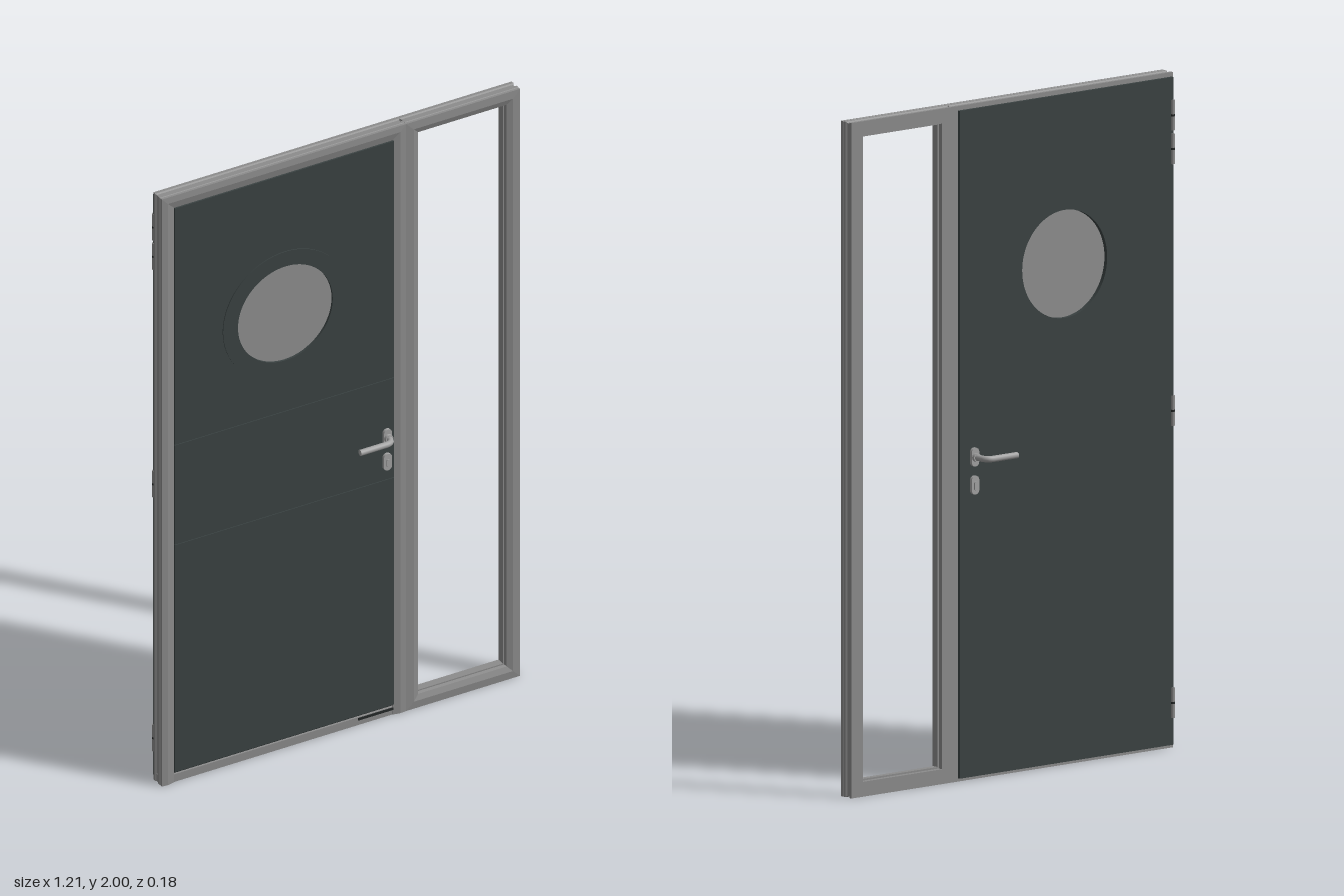
import * as THREE from 'three';

const mat = (name, color) => Object.assign(new THREE.MeshStandardMaterial({ color }), { name });

export function createModel() {
  const root = new THREE.Group();
  const frameGrey = mat('frame grey', 0x8c8c8c);
  const doorGrey = mat('door anthracite', 0x3b4343);
  const glassGrey = mat('glass grey', 0x8f8f8f);
  const steel = mat('handle steel', 0xa2a2a2);
  const dark = mat('dark seal', 0x242828);

  const add = (name, geo, material, x = 0, y = 0, z = 0, parent = root) => {
    const m = new THREE.Mesh(geo, material);
    m.name = name;
    m.position.set(x, y, z);
    parent.add(m);
    return m;
  };
  const box = (name, x0, x1, y0, y1, z0, z1, material) =>
    add(name, new THREE.BoxGeometry(x1 - x0, y1 - y0, z1 - z0), material,
      (x0 + x1) / 2, (y0 + y1) / 2, (z0 + z1) / 2);

  // Mitred frame: a closed profile of [inset, z] points swept around a rectangle
  function mitredFrame(x0, x1, y0, y1, profile, closed) {
    const corners = ([d, z]) => {
      const b = closed ? y0 + d : y0;
      return [[x0 + d, b, z], [x0 + d, y1 - d, z], [x1 - d, y1 - d, z], [x1 - d, b, z]];
    };
    const pos = [];
    profile.forEach((p, i) => {
      const a = corners(p), b = corners(profile[(i + 1) % profile.length]);
      for (let k = 0; k < (closed ? 4 : 3); k++) {
        const n = (k + 1) % 4;
        pos.push(...a[k], ...b[k], ...b[n], ...a[k], ...b[n], ...a[n]);
      }
    });
    const g = new THREE.BufferGeometry();
    g.setAttribute('position', new THREE.Float32BufferAttribute(pos, 3));
    g.computeVertexNormals();
    return g;
  }
  const outerEdge = [[0, -0.013], [0, -0.003], [0.004, 0], [0.004, 0.011], [0, 0.014],
    [0, 0.023], [0.003, 0.025], [0, 0.027], [0, 0.035]];
  add('doorFrame', mitredFrame(-0.605, 0.22, 0, 2,
    [...outerEdge, [0.02, 0.037], [0.043, 0.032], [0.043, -0.013]], false), frameGrey);
  add('sidelightFrame', mitredFrame(0.22, 0.605, 0, 2,
    [...outerEdge, [0.025, 0.037], [0.043, 0.031], [0.045, 0.02], [0.049, 0.02],
      [0.049, 0.002], [0.044, 0.002], [0.044, -0.013]], true), frameGrey);
  box('threshold', -0.602, 0.218, 0, 0.026, -0.0125, 0.031, frameGrey);
  box('thresholdSeal', -0.56, 0.178, 0.026, 0.036, -0.012, 0.024, dark);
  box('sealEnd', 0.06, 0.178, 0.016, 0.024, 0.03, 0.033, dark);

  // Door leaf: panels with a round window opening
  const cx = -0.19, cy = 1.485, r = 0.16;
  function panel(name, x0, x1, y0, y1, z0, z1, hole) {
    const s = new THREE.Shape([[x0, y0], [x1, y0], [x1, y1], [x0, y1]]
      .map(([x, y]) => new THREE.Vector2(x, y)));
    if (hole) s.holes.push(new THREE.Path().absarc(cx, cy, hole, 0, Math.PI * 2, true));
    add(name, new THREE.ExtrudeGeometry(s, { depth: z1 - z0, bevelEnabled: false, curveSegments: 64 }),
      doorGrey, 0, 0, z0);
  }
  panel('doorBackLeaf', -0.6, 0.205, 0.01, 1.987, -0.0225, -0.0135, r);
  panel('doorCore', -0.561, 0.179, 0.036, 1.956, -0.0135, 0.032, r);
  panel('lowerFrontPanel', -0.561, 0.179, 0.036, 0.809, 0.032, 0.036);
  panel('middleFrontPanel', -0.561, 0.179, 0.811, 1.149, 0.032, 0.036);
  panel('upperFrontPanel', -0.561, 0.179, 1.151, 1.956, 0.032, 0.036, r);

  // Round window with a flat bezel on the front
  const bezel = new THREE.Shape().absarc(cx, cy, 0.21, 0, Math.PI * 2, false);
  bezel.holes.push(new THREE.Path().absarc(cx, cy, r, 0, Math.PI * 2, true));
  add('windowBezel', new THREE.ExtrudeGeometry(bezel,
    { depth: 0.003, bevelEnabled: false, curveSegments: 64 }), doorGrey, 0, 0, 0.036);
  add('windowGlass', new THREE.CylinderGeometry(r, r, 0.042, 64).rotateX(Math.PI / 2),
    glassGrey, cx, cy, 0.011);

  // Lever handle, rose and lock plate on each side
  const hx = 0.153, hy = 0.957, tube = 0.0095;
  function ovalPlate(w, h, depth) {
    const k = h / 2 - w / 2;
    const s = new THREE.Shape();
    s.absarc(0, k, w / 2, 0, Math.PI, false);
    s.absarc(0, -k, w / 2, Math.PI, Math.PI * 2, false);
    return new THREE.ExtrudeGeometry(s, { depth, bevelEnabled: false, curveSegments: 12 })
      .translate(0, 0, -depth / 2);
  }
  for (const [side, s, face, reach] of [['front', 1, 0.036, 0.076], ['back', -1, -0.0225, -0.084]]) {
    const handle = new THREE.Group();
    handle.name = side + 'Handle';
    root.add(handle);
    const v = (x, z) => new THREE.Vector3(x, hy, z);
    const path = new THREE.CurvePath();
    const bend = 0.026;
    path.add(new THREE.LineCurve3(v(hx, face), v(hx, reach - s * bend)));
    path.add(new THREE.QuadraticBezierCurve3(v(hx, reach - s * bend), v(hx, reach), v(hx - bend, reach)));
    path.add(new THREE.LineCurve3(v(hx - bend, reach), v(0.04, reach)));
    add('lever', new THREE.TubeGeometry(path, 40, tube, 14), steel, 0, 0, 0, handle);
    add('leverEnd', new THREE.CircleGeometry(tube, 14).rotateY(-Math.PI / 2), steel, 0.04, hy, reach, handle);
    add('collar', new THREE.CylinderGeometry(0.013, 0.013, 0.018, 20).rotateX(Math.PI / 2),
      steel, hx, hy, face + s * 0.009, handle);
    add('rose', ovalPlate(0.028, 0.056, 0.009), steel, hx, hy, face + s * 0.0045, handle);
    add('lockPlate', ovalPlate(0.028, 0.056, 0.009), steel, hx, 0.874, face + s * 0.0045, handle);
    add('lockCylinder', ovalPlate(0.011, 0.026, 0.004), steel, hx, 0.872, face + s * 0.011, handle);
  }

  // Barrel hinges along the back left edge
  for (const y of [1.875, 1.775, 1.0, 0.135]) {
    add('hingeBarrel', new THREE.CylinderGeometry(0.006, 0.006, 0.09, 12), frameGrey, -0.597, y, -0.0225);
    add('hingeJoint', new THREE.CylinderGeometry(0.0065, 0.0065, 0.006, 12), dark, -0.597, y, -0.0225);
  }
  return root;
}
